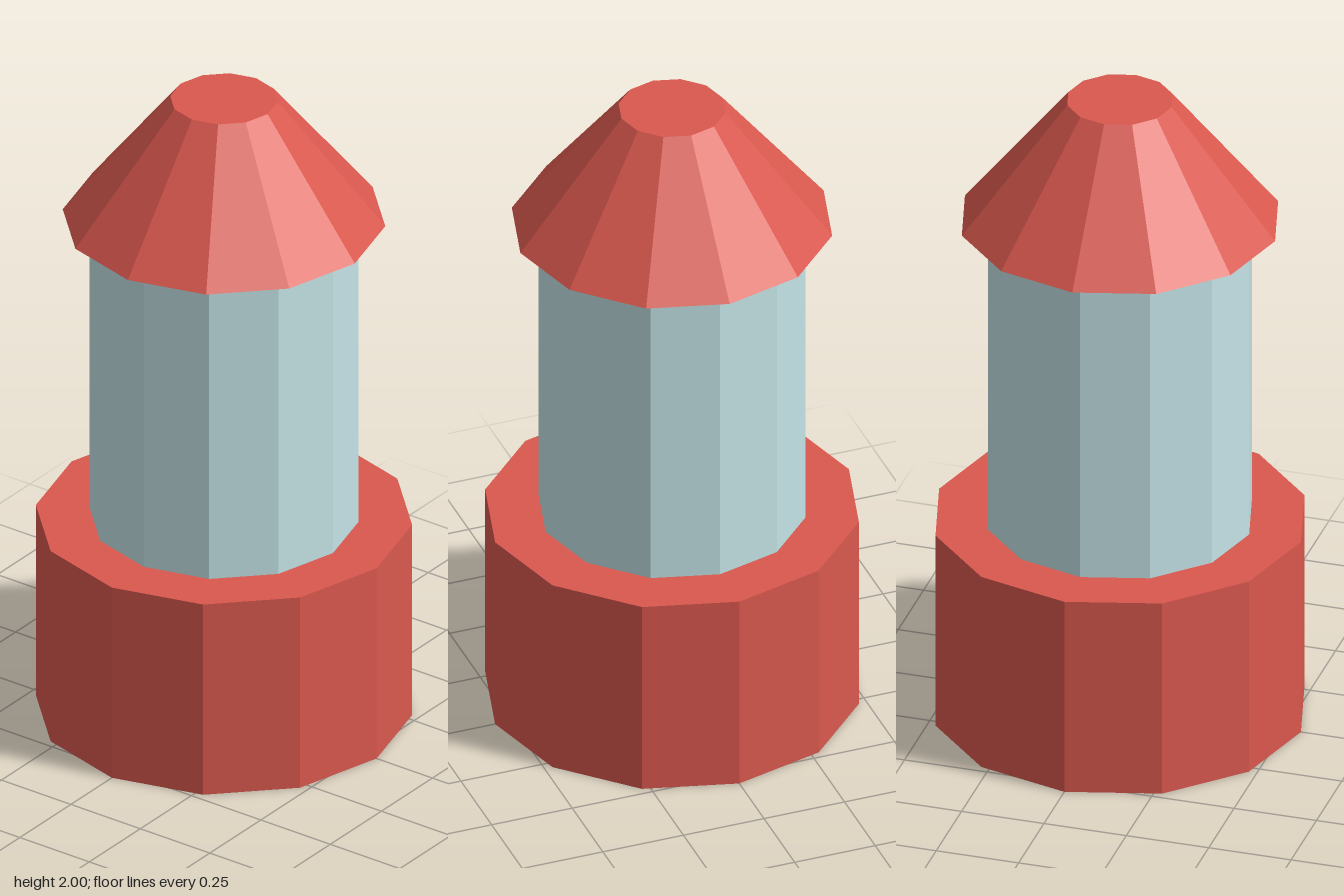
import * as THREE from 'three';

const SIDES = 12;
const UNIT = 2 / 25.5; // overall height is 25.5 units

export function createModel() {
  const group = new THREE.Group();

  const red = new THREE.MeshStandardMaterial({ color: 0xd9584e, flatShading: true });
  red.name = 'red';
  const paleBlue = new THREE.MeshStandardMaterial({ color: 0xc4e3e6, flatShading: true });
  paleBlue.name = 'paleBlue';

  // Twelve-sided drum standing on the given height, sizes in units
  function addDrum(name, topRadius, bottomRadius, height, bottom, material) {
    const geometry = new THREE.CylinderGeometry(
      topRadius * UNIT, bottomRadius * UNIT, height * UNIT, SIDES);
    const mesh = new THREE.Mesh(geometry, material);
    mesh.name = name;
    mesh.position.y = (bottom + height / 2) * UNIT;
    group.add(mesh);
  }

  addDrum('base', 7, 7, 8, 0, red);
  addDrum('glassBody', 5, 5, 12, 8, paleBlue);
  // The cap floats just above the body
  addDrum('cap', 2, 6, 5, 20.5, red);

  return group;
}
